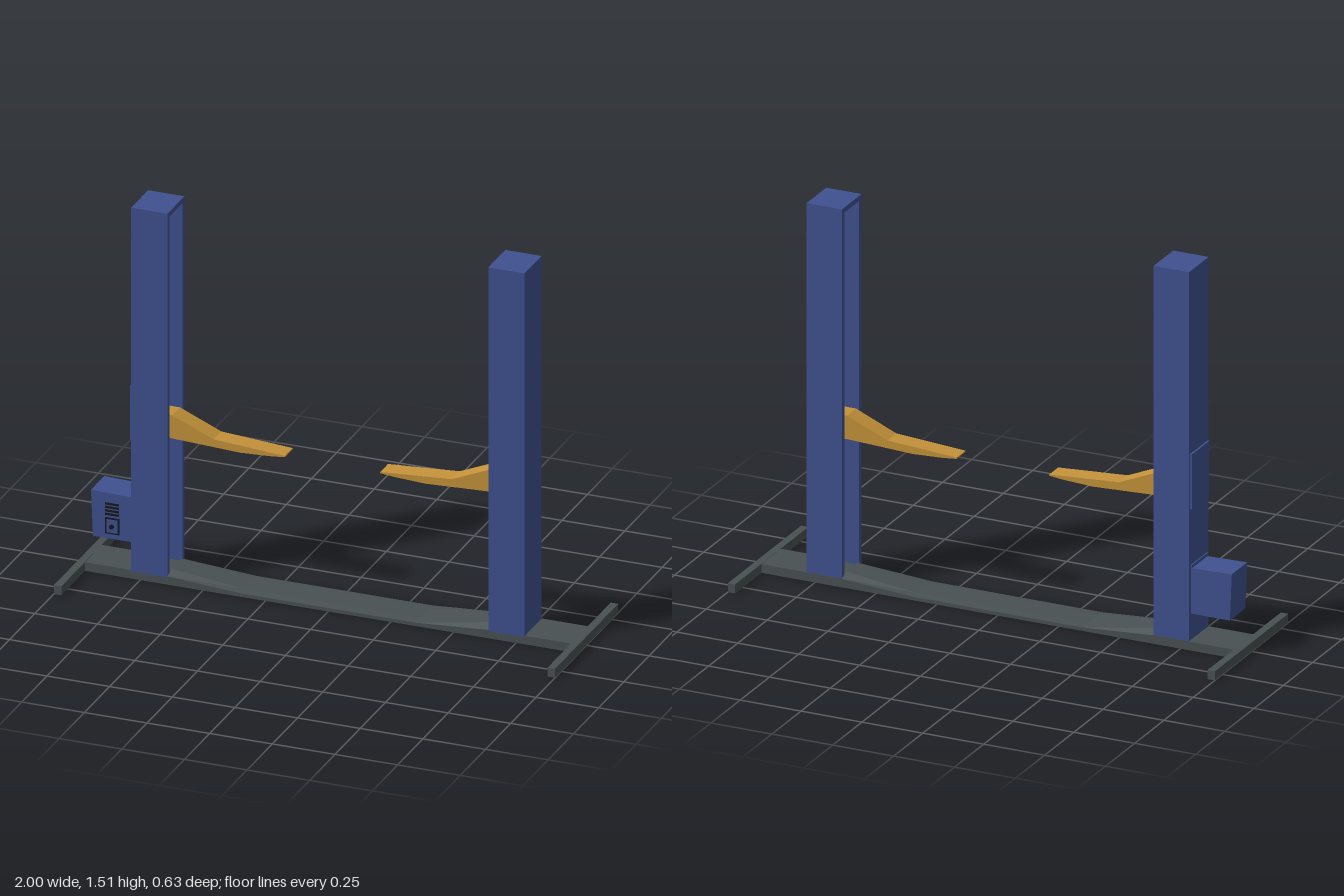
import * as THREE from 'three';

const blue = new THREE.MeshStandardMaterial({ color: 0x3f5190 });
const amber = new THREE.MeshStandardMaterial({ color: 0xc4923a });
const steel = new THREE.MeshStandardMaterial({ color: 0x495153, flatShading: true });
const black = new THREE.MeshStandardMaterial({ color: 0x15171c });

const ZC = -0.005; // posts and base share this centre line

// Box given by its min and max corners
function box(parent, name, mat, [x0, y0, z0], [x1, y1, z1]) {
  const mesh = new THREE.Mesh(new THREE.BoxGeometry(x1 - x0, y1 - y0, z1 - z0), mat);
  mesh.position.set((x0 + x1) / 2, (y0 + y1) / 2, (z0 + z1) / 2);
  mesh.name = name;
  parent.add(mesh);
  return mesh;
}

// Outline in x-y, extruded between z0 and z1
function slab(points, z0, z1) {
  const shape = new THREE.Shape(points.map(([x, y]) => new THREE.Vector2(x, y)));
  const geo = new THREE.ExtrudeGeometry(shape, { depth: z1 - z0, bevelEnabled: false });
  return geo.translate(0, 0, z0);
}

// Skin over rings of [x, y, z] points placed along +x, with end caps
function loft(rings) {
  const n = rings[0].length, pos = rings.flat(2), idx = [];
  for (let r = 0; r < rings.length - 1; r++) {
    for (let i = 0; i < n; i++) {
      const a = r * n + i, b = r * n + (i + 1) % n;
      idx.push(a, b, b + n, a, b + n, a + n);
    }
  }
  const last = (rings.length - 1) * n;
  for (let i = 1; i < n - 1; i++) {
    idx.push(0, i + 1, i, last, last + i, last + i + 1);
  }
  const geo = new THREE.BufferGeometry();
  geo.setAttribute('position', new THREE.Float32BufferAttribute(pos, 3));
  geo.setIndex(idx);
  const flat = geo.toNonIndexed();
  flat.computeVertexNormals();
  return flat;
}

// Floor strip between the posts: flat in the middle, chamfered ramps at the ends
function floorStrip() {
  const ring = (x, top, edge) => [
    [x, 0, -0.09], [x, 0, 0.077], [x, edge, 0.077],
    [x, top, 0.04], [x, top, -0.055], [x, edge, -0.09],
  ].reverse();
  const rings = [
    ring(-0.64, 0.05, 0.034), ring(-0.35, 0.016, 0.014),
    ring(0.35, 0.016, 0.014), ring(0.64, 0.05, 0.034),
  ];
  // order rings so that faces point outwards
  const mesh = new THREE.Mesh(loft(rings.map((r) => r.slice().reverse())), steel);
  mesh.material = steel.clone();
  mesh.material.side = THREE.DoubleSide;
  mesh.name = 'floorStrip';
  return mesh;
}

// Post, arm and foot for one side; s = 1 is the model's left
function side(s) {
  const g = new THREE.Group();
  g.name = s > 0 ? 'leftSide' : 'rightSide';
  const span = (a, b) => (s > 0 ? [a, b] : [-b, -a]);
  const part = (name, mat, [xa, xb], [y0, y1], [z0, z1]) => {
    const [x0, x1] = span(xa, xb);
    return box(g, name, mat, [x0, y0, z0], [x1, y1, z1]);
  };

  // Channel-shaped post, open towards the middle
  const t = 0.02, front = ZC + 0.084, back = ZC - 0.084, top = 1.51;
  part('postOuterWall', blue, [0.785 - t, 0.785], [0.03, top - t], [back, front]);
  part('postFrontWall', blue, [0.64, 0.785 - t], [0.03, top - t], [front - t, front]);
  part('postBackWall', blue, [0.64, 0.785 - t], [0.03, top - t], [back, back + t]);
  part('postCap', blue, [0.64, 0.785], [top - t, top], [back, front]);

  // Foot plate and cross bar
  part('footPlate', steel, [0.64, 0.97], [0, 0.035], [-0.09, 0.077]);
  part('crossBar', steel, [0.97, 1], [0, 0.036], [-0.315, 0.312]);

  // Tapered lifting arm
  const outline = [
    [0.765, 0.577], [0.765, 0.67], [0.64, 0.67], [0.475, 0.6],
    [0.19, 0.581], [0.19, 0.576], [0.25, 0.57], [0.37, 0.564], [0.64, 0.576],
  ].map(([x, y]) => [s * x, y]);
  const arm = new THREE.Mesh(slab(outline, -0.045, 0.032), amber);
  arm.name = 'liftArm';
  g.add(arm);
  return g;
}

// Power unit with vents and a switch on the right post
function powerUnit() {
  const g = new THREE.Group();
  g.name = 'powerUnit';
  const housing = new THREE.Mesh(slab(
    [[-0.945, 0.14], [-0.788, 0.14], [-0.788, 0.322], [-0.953, 0.326]], -0.072, 0.06), blue);
  housing.name = 'housing';
  g.add(housing);
  box(g, 'mountingPlate', blue, [-0.79, 0.14, -0.072], [-0.784, 0.335, 0.068]);
  for (let i = 0; i < 4; i++) {
    const y = 0.235 + i * 0.014;
    box(g, 'vent', black, [-0.896, y, 0.058], [-0.842, y + 0.008, 0.063]);
  }
  // Switch plate with a dark rim and a knob
  box(g, 'switchRim', black, [-0.896, 0.16, 0.058], [-0.84, 0.225, 0.063]);
  box(g, 'switchPlate', blue, [-0.89, 0.166, 0.06], [-0.846, 0.219, 0.065]);
  const knob = new THREE.Mesh(new THREE.CylinderGeometry(0.009, 0.009, 0.01, 16), black);
  knob.rotation.x = Math.PI / 2;
  knob.position.set(-0.868, 0.192, 0.067);
  knob.name = 'switchKnob';
  g.add(knob);
  return g;
}

export function createModel() {
  const model = new THREE.Group();
  model.name = 'twoPostLift';
  model.add(floorStrip(), side(1), side(-1), powerUnit());
  // Cover panel on the outside of the right post
  box(model, 'coverPanel', blue, [-0.793, 0.56, -0.08], [-0.784, 0.78, 0.07]);
  return model;
}
